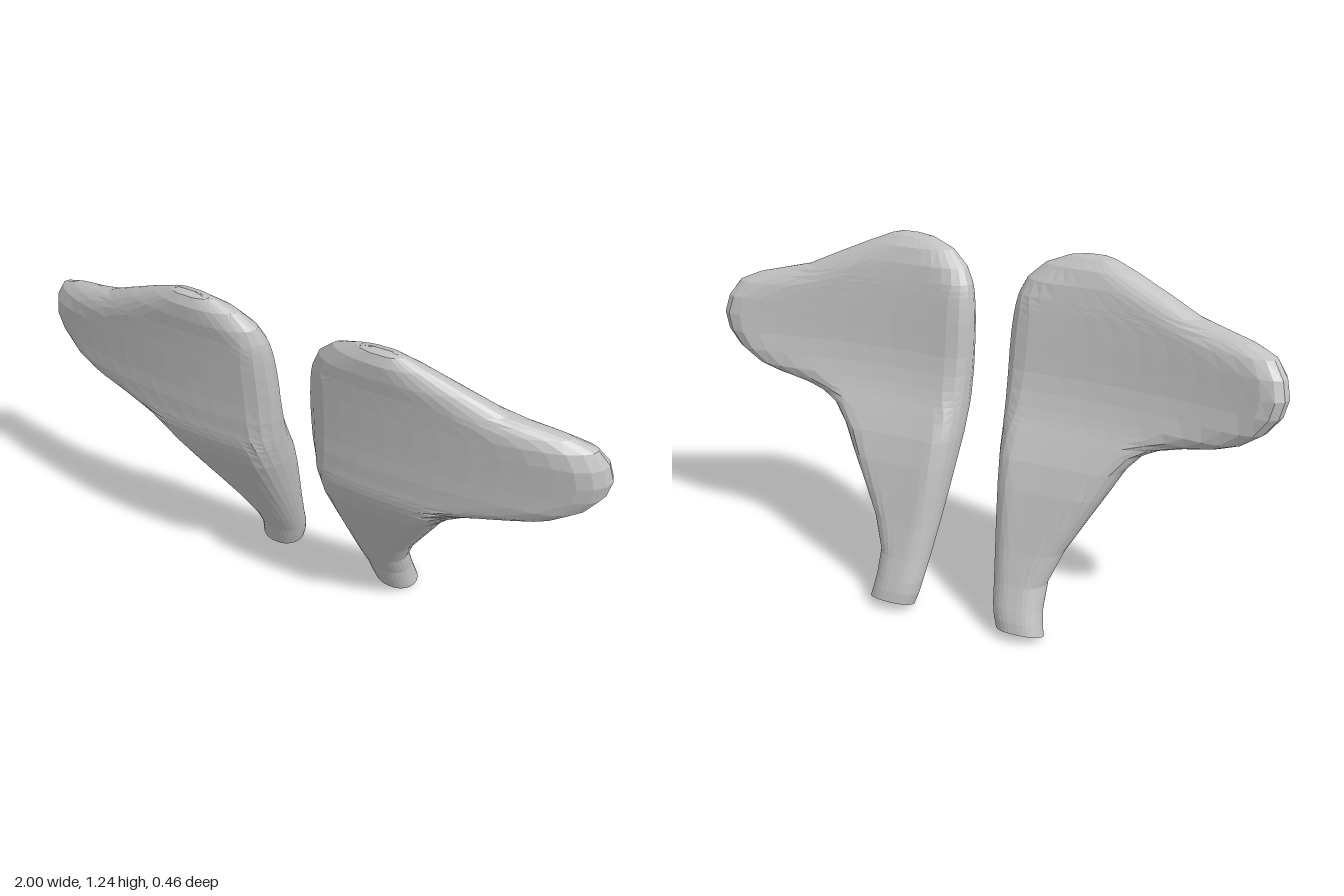
import * as THREE from 'three';

// Cross-sections from foot to top: [y, inner x, outer x, centre z, half thickness]
const SECTIONS = [
  [0.00, 0.16, 0.325, -0.175, 0.055],
  [0.05, 0.146, 0.316, -0.162, 0.06],
  [0.10, 0.137, 0.31, -0.147, 0.062],
  [0.19, 0.125, 0.31, -0.108, 0.07],
  [0.30, 0.11, 0.352, -0.062, 0.079],
  [0.40, 0.098, 0.408, -0.022, 0.09],
  [0.50, 0.087, 0.465, 0.018, 0.1],
  [0.59, 0.078, 0.515, 0.057, 0.105],
  [0.65, 0.075, 0.57, 0.083, 0.1],
  [0.68, 0.073, 0.635, 0.095, 0.096],
  [0.70, 0.072, 0.72, 0.102, 0.092],
  [0.72, 0.071, 0.81, 0.108, 0.088],
  [0.75, 0.07, 0.88, 0.115, 0.082],
  [0.80, 0.068, 0.945, 0.126, 0.075],
  [0.86, 0.067, 0.987, 0.135, 0.068],
  [0.92, 0.067, 1.0, 0.142, 0.065],
  [0.98, 0.069, 0.985, 0.149, 0.063],
  [1.03, 0.073, 0.95, 0.155, 0.061],
  [1.06, 0.077, 0.88, 0.159, 0.06],
  [1.08, 0.081, 0.79, 0.162, 0.059],
  [1.10, 0.086, 0.70, 0.165, 0.058],
  [1.15, 0.11, 0.59, 0.175, 0.056],
  [1.20, 0.165, 0.475, 0.187, 0.053],
  [1.23, 0.24, 0.40, 0.196, 0.05],
  [1.24, 0.30, 0.36, 0.2, 0.05],
];
const COLS = 16;
const EDGE = 0.075; // width of the rounded rim

// Outline open at the foot, used to round the rim
const outline = [
  ...SECTIONS.map((s) => new THREE.Vector3(s[1], s[0], 0)),
  ...SECTIONS.map((s) => new THREE.Vector3(s[2], s[0], 0)).reverse(),
];
// Carry both sides below the foot so the cut end stays full
outline.unshift(new THREE.Vector3(0.16, -0.2, 0));
outline.push(new THREE.Vector3(0.325, -0.2, 0));

function rimDistance(x, y) {
  const p = new THREE.Vector3(x, y, 0);
  const q = new THREE.Vector3();
  const line = new THREE.Line3();
  let best = Infinity;
  for (let i = 0; i + 1 < outline.length; i++) {
    line.set(outline[i], outline[i + 1]).closestPointToPoint(p, true, q);
    best = Math.min(best, q.distanceTo(p));
  }
  return best;
}

// One bowed, round-rimmed blade; side is +1 (left) or -1 (right)
function bladeGeometry(side) {
  const positions = [];
  const index = [];
  const ring = COLS * 2;
  const face = (a, b, c) => index.push(...(side > 0 ? [a, b, c] : [a, c, b]));

  for (const [y, inner, outer, centre, half] of SECTIONS) {
    for (let k = 0; k < ring; k++) {
      const front = k <= COLS;
      const i = front ? k : ring - k;
      const u = (1 - Math.cos((Math.PI * i) / COLS)) / 2;
      const x = inner + (outer - inner) * u;
      const d = Math.min(rimDistance(x, y) / EDGE, 1);
      const h = half * Math.sqrt(1 - (1 - d) ** 2) * (front ? 1 : -1);
      const bow = 0.2 * (x - 0.3) ** 2;
      // The foot is cut on a slant, higher at the back
      const slant = (0.02 - (0.02 * h) / half) * Math.max(0, 1 - y / 0.15);
      positions.push(side * x, y + slant, centre - bow + h);
    }
  }
  for (let j = 0; j + 1 < SECTIONS.length; j++) {
    for (let k = 0; k < ring; k++) {
      const a = j * ring + k;
      const b = j * ring + ((k + 1) % ring);
      face(a, b, b + ring);
      face(a, b + ring, a + ring);
    }
  }
  // Hollowed end of the foot
  const tip = positions.length / 3;
  positions.push(side * 0.24, 0.035, -0.172);
  for (let k = 0; k < ring; k++) face(tip, (k + 1) % ring, k);

  const geometry = new THREE.BufferGeometry();
  geometry.setAttribute('position', new THREE.Float32BufferAttribute(positions, 3));
  geometry.setIndex(index);
  geometry.computeVertexNormals();
  return geometry;
}

export function createModel() {
  const group = new THREE.Group();
  group.name = 'pairedBlades';
  const grey = new THREE.MeshStandardMaterial({ color: 0xc0c0c0, flatShading: true });
  grey.name = 'light grey';
  for (const side of [1, -1]) {
    const blade = new THREE.Mesh(bladeGeometry(side), grey);
    blade.name = side > 0 ? 'leftBlade' : 'rightBlade';
    group.add(blade);
  }
  return group;
}
